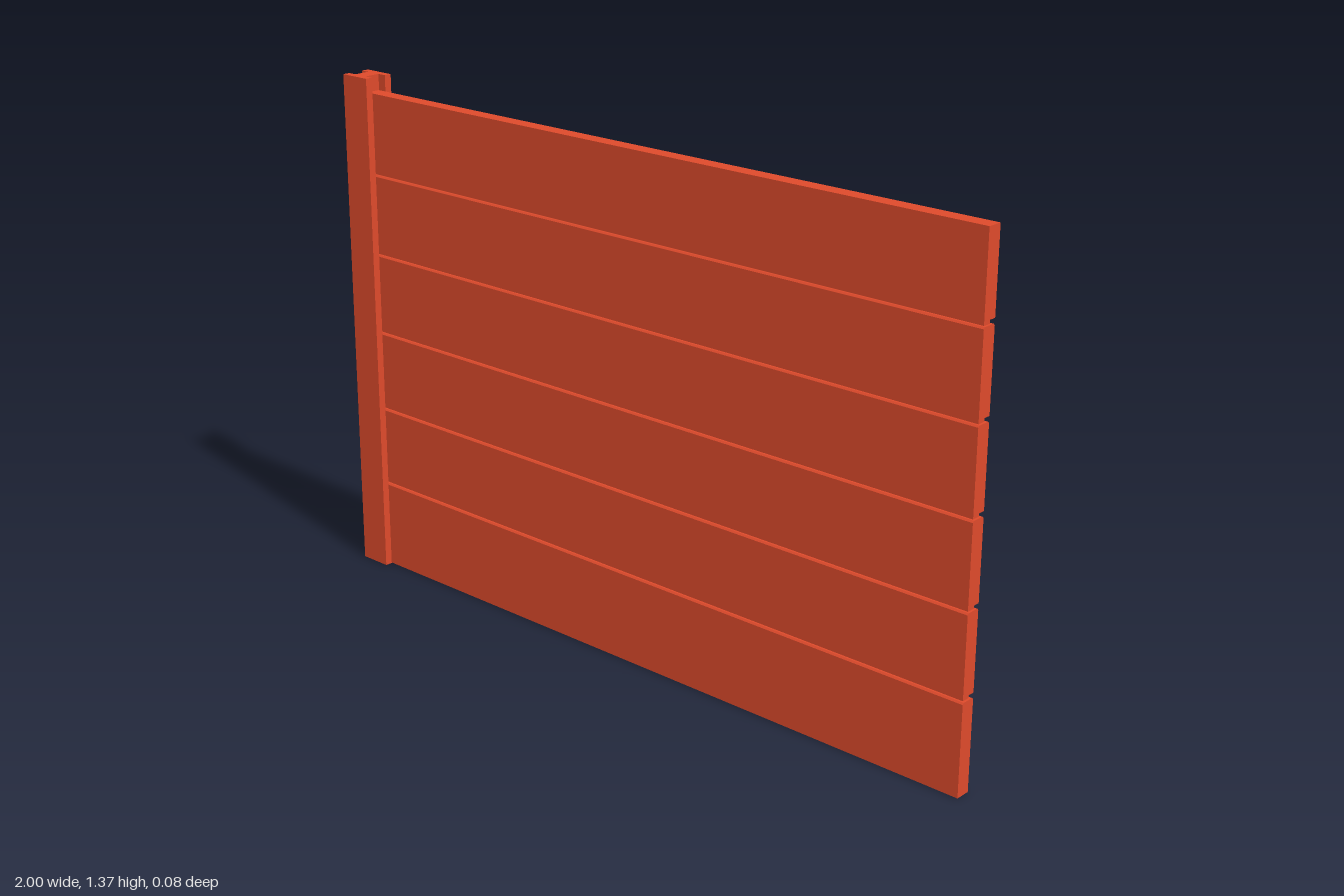
import * as THREE from 'three';

const material = new THREE.MeshStandardMaterial({ color: 0xde4a2b, flatShading: true });

// Extrude a closed outline of [a, b] points
function extrude(name, points, depth) {
  const shape = new THREE.Shape(points.map(([a, b]) => new THREE.Vector2(a, b)));
  const geometry = new THREE.ExtrudeGeometry(shape, { depth, bevelEnabled: false });
  const mesh = new THREE.Mesh(geometry, material);
  mesh.name = name;
  return mesh;
}

export function createModel() {
  const group = new THREE.Group();
  group.name = 'fencePanel';

  // H-section post with a slot on each side
  const f = 0.042, s = 0.022;
  const post = extrude('post', [
    [-1, -f], [-0.91, -f], [-0.91, -s], [-0.935, -s], [-0.935, s], [-0.91, s],
    [-0.91, f], [-1, f], [-1, s], [-0.976, s], [-0.976, -s], [-1, -s],
  ], 1.367);
  post.rotation.x = -Math.PI / 2;
  group.add(post);

  // Six boards stacked in the slot, with slightly bevelled upper edges
  const start = -0.934, end = 1, half = 0.02;
  const pitch = 0.2175, firstTop = 0.238, gap = 0.012;
  for (let i = 0; i < 6; i++) {
    const bottom = i === 0 ? 0 : firstTop + gap + (i - 1) * pitch;
    const top = i === 5 ? 1.325 : firstTop + i * pitch;
    const bevel = i === 5 ? 0 : 0.004;
    const outline = [[-half, bottom], [half, bottom], [half, top - bevel]];
    if (bevel) outline.push([half - bevel, top], [bevel - half, top]);
    outline.push([-half, top - bevel]);
    const board = extrude('board', outline, end - start);
    board.rotation.y = Math.PI / 2;
    board.position.x = start;
    group.add(board);

    // Tongue joining this board to the one above
    if (i < 5) {
      const tongue = new THREE.Mesh(new THREE.BoxGeometry(end - start - 0.006, gap + 0.01, 0.022), material);
      tongue.name = 'tongue';
      tongue.position.set((start + end - 0.006) / 2, top + gap / 2, 0);
      group.add(tongue);
    }
  }
  return group;
}
